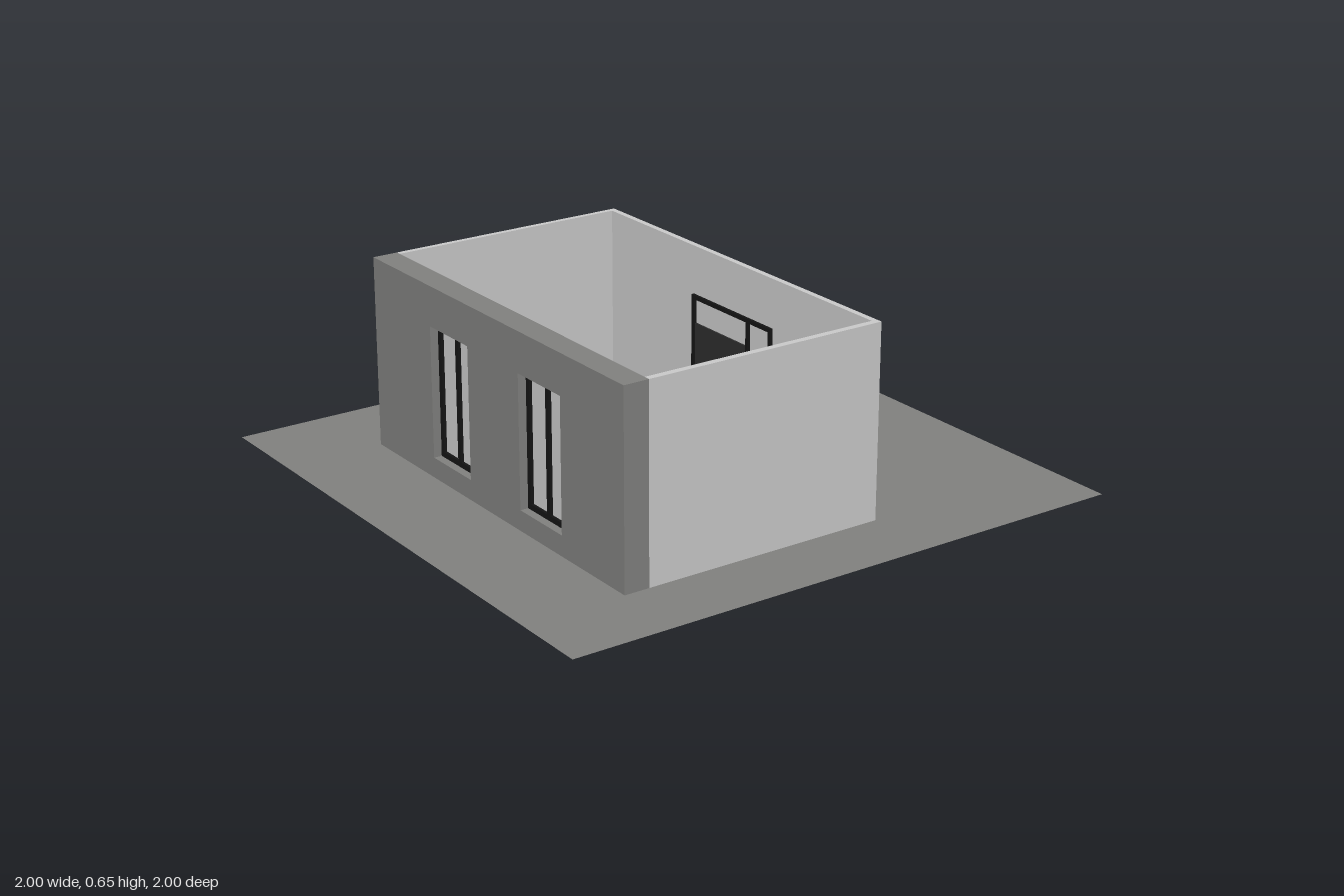
import * as THREE from 'three';

export function createModel() {
  const model = new THREE.Group();
  model.name = 'roomShell';

  const mat = (name, color, side = THREE.FrontSide) => {
    const m = new THREE.MeshStandardMaterial({ color, side });
    m.name = name;
    return m;
  };
  const concrete = mat('concreteGrey', 0x80807e, THREE.DoubleSide);
  const plaster = mat('lightPlaster', 0xc9c9c9);
  const frameBlack = mat('frameBlack', 0x141414);
  const doorGrey = mat('doorCharcoal', 0x2d2d2d);

  const H = 0.65, zBack = -0.68, zFront = 0.745;

  // Box given by its minimum and maximum corners
  const box = (parent, name, material, [x0, y0, z0], [x1, y1, z1]) => {
    const g = new THREE.BoxGeometry(x1 - x0, y1 - y0, z1 - z0);
    g.translate((x0 + x1) / 2, (y0 + y1) / 2, (z0 + z1) / 2);
    const mesh = new THREE.Mesh(g, material);
    mesh.name = name;
    parent.add(mesh);
  };

  // Wall drawn in the z-y plane and extruded across x0..x1
  const sideWall = (name, material, outline, holes, x0, x1) => {
    const toPoints = (list) => list.map(([z, y]) => new THREE.Vector2(z, y));
    const shape = new THREE.Shape(toPoints(outline));
    holes.forEach((h) => shape.holes.push(new THREE.Path(toPoints(h))));
    const g = new THREE.ExtrudeGeometry(shape, { depth: x1 - x0, bevelEnabled: false });
    g.rotateY(-Math.PI / 2);
    g.translate(x1, 0, 0);
    const mesh = new THREE.Mesh(g, material);
    mesh.name = name;
    model.add(mesh);
  };

  // Ground sheet
  const ground = new THREE.Mesh(new THREE.PlaneGeometry(2, 2).rotateX(-Math.PI / 2), concrete);
  ground.name = 'ground';
  ground.position.y = 0.001;
  model.add(ground);

  // Thin end walls
  box(model, 'backWall', plaster, [-0.565, 0, zBack], [0.285, H, zBack + 0.018]);
  box(model, 'frontWall', plaster, [-0.565, 0, zFront - 0.022], [0.285, H, zFront]);

  // Thin wall with the door opening
  const d0 = -0.185, d1 = 0.24, dTop = 0.485;
  const a = zBack + 0.018, b = zFront - 0.022;
  sideWall('doorWall', plaster,
    [[a, 0], [d0, 0], [d0, dTop], [d1, dTop], [d1, 0], [b, 0], [b, H], [a, H]],
    [], 0.265, 0.285);

  // Thick wall with two window openings
  const w0 = 0.07, w1 = 0.515;
  const windows = [[-0.33, -0.105], [0.185, 0.415]];
  sideWall('windowWall', concrete,
    [[zBack, 0], [zFront, 0], [zFront, H], [zBack, H]],
    windows.map(([l, r]) => [[l, w0], [l, w1], [r, w1], [r, w0]]),
    -0.652, -0.565);

  // Windows: frame, middle post and two panes
  windows.forEach(([l, r], i) => {
    const win = new THREE.Group();
    win.name = 'window' + (i + 1);
    model.add(win);
    const t = 0.018, x0 = -0.624, x1 = -0.6, mid = (l + r) / 2;
    [l, mid - t / 2, r - t].forEach((z) =>
      box(win, 'windowPost', frameBlack, [x0, w0, z], [x1, w1, z + t]));
    [[l + t, mid - t / 2], [mid + t / 2, r - t]].forEach(([z0, z1]) => {
      [w0, w1 - t].forEach((y) =>
        box(win, 'windowRail', frameBlack, [x0, y, z0], [x1, y + t, z1]));
      box(win, 'windowPane', plaster, [-0.614, w0 + t, z0], [-0.61, w1 - t, z1]);
    });
  });

  // Door set: frame, side light, transom light and door leaf
  const door = new THREE.Group();
  door.name = 'doorSet';
  model.add(door);
  const t = 0.014, x0 = 0.255, x1 = 0.28, base = 0.003, split = 0.11;
  box(door, 'doorPost', frameBlack, [x0, base, d0], [x1, dTop, d0 + t]);
  box(door, 'doorPost', frameBlack, [x0, base, d1 - t], [x1, dTop, d1]);
  box(door, 'doorMullion', frameBlack, [x0, base, split], [x1, dTop - t, split + 0.011]);
  box(door, 'doorHead', frameBlack, [x0, dTop - t, d0 + t], [x1, dTop, d1 - t]);
  box(door, 'sideLightSill', frameBlack, [x0, base, split + 0.011], [x1, base + 0.01, d1 - t]);
  box(door, 'sideLight', plaster, [0.266, base + 0.01, split + 0.011], [0.27, dTop - t, d1 - t]);
  box(door, 'transomLight', plaster, [0.266, 0.387, d0 + t], [0.27, dTop - t, split]);
  box(door, 'doorLeaf', doorGrey, [0.26, base, d0 + t], [0.275, 0.387, split]);

  return model;
}
